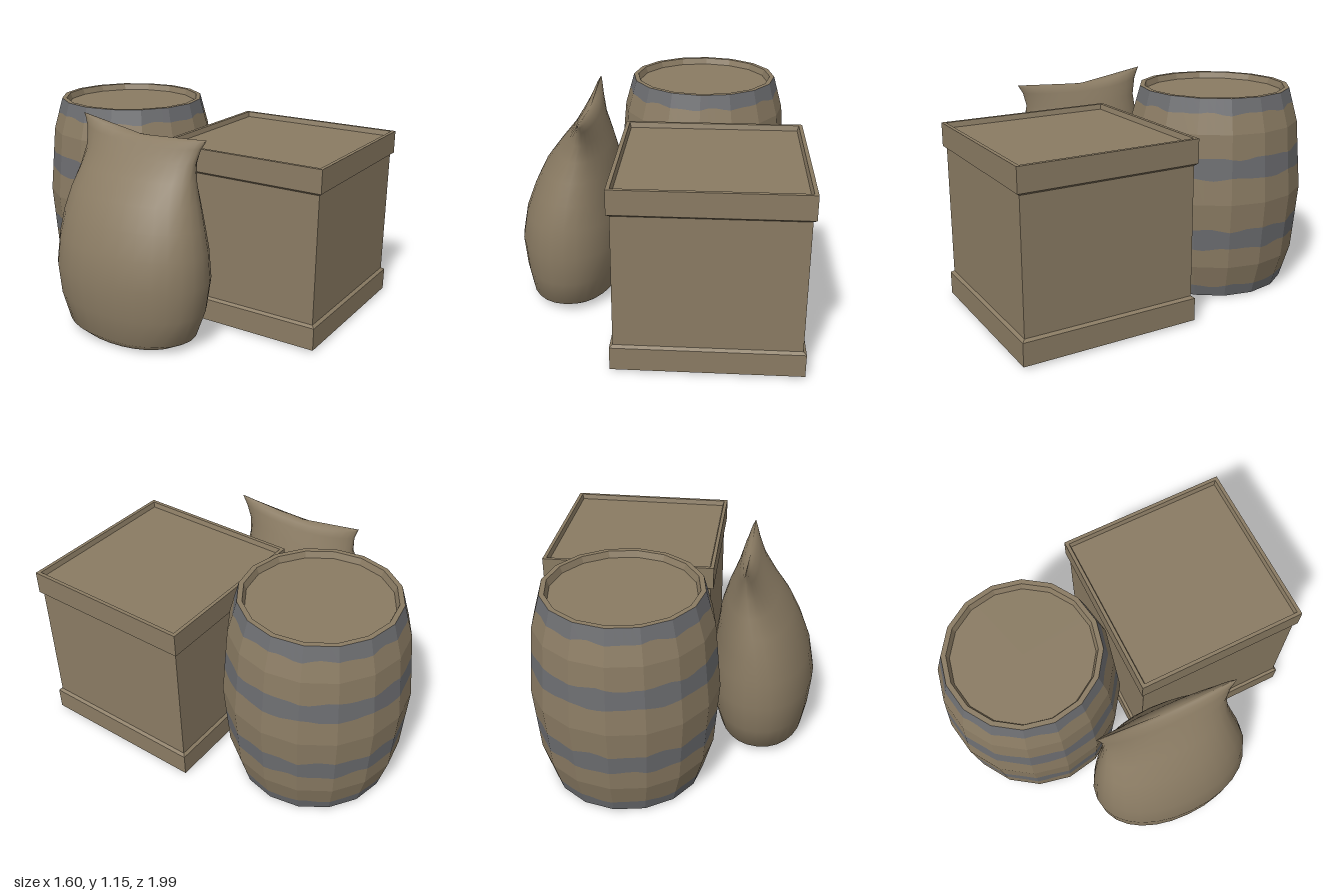
import * as THREE from 'three';

const brown = new THREE.MeshStandardMaterial({ name: 'weatheredBrown', color: 0x8a7b63 });
const iron = new THREE.MeshStandardMaterial({ name: 'hoopGrey', color: 0x6c6d70 });

function addMesh(parent, name, geometry, material) {
  const mesh = new THREE.Mesh(geometry, material);
  mesh.name = name;
  parent.add(mesh);
  return mesh;
}

// Turned profile of [radius, y] pairs, not yet faceted
function turned(profile, sides) {
  return new THREE.LatheGeometry(profile.map(([r, y]) => new THREE.Vector2(r, y)), sides);
}

function faceted(geometry) {
  const flat = geometry.toNonIndexed();
  flat.computeVertexNormals();
  return flat;
}

// Square crate: one four-sided profile with bands and recessed ends
function makeCrate() {
  const crate = new THREE.Group();
  crate.name = 'crate';
  const profile = [
    [0, 0.04], [0.46, 0.04], [0.468, 0.015], [0.49, 0.015], [0.49, 0.14], [0.474, 0.152],
    [0.474, 0.86], [0.49, 0.872], [0.49, 1], [0.47, 1], [0.462, 0.972], [0, 0.972],
  ].map(([r, y]) => [r * Math.SQRT2, y]);
  const box = addMesh(crate, 'crateBox', faceted(turned(profile, 4)), brown);
  box.rotation.y = Math.PI / 4 + 0.02;
  crate.position.set(0.298, 0, 0.495);
  return crate;
}

// Sixteen-sided barrel: staves and painted hoops share one bulging outline
const KNOTS = [[0.425, 0.01], [0.48, 0.2], [0.51, 0.57], [0.477, 0.95], [0.425, 1.135]];

function barrelRadius(y) {
  let i = 0;
  while (i < KNOTS.length - 2 && y > KNOTS[i + 1][1]) i++;
  const [[r0, y0], [r1, y1]] = [KNOTS[i], KNOTS[i + 1]];
  return r0 + (r1 - r0) * (y - y0) / (y1 - y0);
}

// Squeeze a fine lathe onto sixteen flat sides, with wavy hoop edges
function barrelSection(profile, wavyLevels = []) {
  const geometry = turned(profile, 64);
  const p = geometry.attributes.position;
  const step = Math.PI / 8;
  for (let i = 0; i < p.count; i++) {
    const a = (Math.atan2(p.getX(i), p.getZ(i)) + Math.PI * 2 + 1e-6) % (Math.PI * 2);
    let y = p.getY(i);
    let r = Math.hypot(p.getX(i), p.getZ(i));
    if (wavyLevels.some((level) => Math.abs(level - y) < 1e-4)) {
      y += 0.006 * Math.sin(9 * a + y * 30) + 0.004 * Math.sin(16 * a + y * 11);
      r = barrelRadius(y);
    }
    r *= Math.cos(step / 2) / Math.cos((a % step) - step / 2);
    p.setXYZ(i, r * Math.sin(a), y, r * Math.cos(a));
  }
  return faceted(geometry);
}

function makeBarrel() {
  const barrel = new THREE.Group();
  barrel.name = 'barrel';
  const edges = [0.01, 0.075, 0.31, 0.42, 0.71, 0.82, 1.055, 1.135];
  const wavy = edges.slice(1, -1);
  for (let i = 0; i < edges.length - 1; i++) {
    const low = edges[i], high = edges[i + 1];
    const levels = [low, ...KNOTS.map((k) => k[1]).filter((y) => y > low && y < high), high];
    const section = barrelSection(levels.map((y) => [barrelRadius(y), y]), wavy);
    addMesh(barrel, i % 2 ? 'staves' : 'hoop', section, i % 2 ? brown : iron);
  }
  // Rims with recessed heads
  addMesh(barrel, 'barrelLid', barrelSection([[0.425, 1.135], [0.398, 1.135], [0.385, 1.1], [0, 1.1]]), brown);
  addMesh(barrel, 'barrelBase', barrelSection([[0, 0.045], [0.385, 0.045], [0.398, 0.01], [0.425, 0.01]]), brown);
  barrel.position.set(0.207, 0, -0.49);
  return barrel;
}

// Sack: smooth loops that taper into a thin flaring neck
function makeSack() {
  // y, x from, x to, z from, z to, lift of the loop's ends
  const loops = [
    [0.003, -0.66, -0.36, -0.17, 0.30, 0],
    [0.01, -0.72, -0.3, -0.25, 0.38, 0],
    [0.05, -0.76, -0.265, -0.33, 0.45, 0],
    [0.2, -0.785, -0.225, -0.39, 0.5, 0],
    [0.37, -0.8, -0.2, -0.41, 0.52, 0],
    [0.53, -0.77, -0.215, -0.4, 0.505, 0],
    [0.66, -0.72, -0.235, -0.385, 0.475, 0],
    [0.78, -0.66, -0.25, -0.36, 0.44, 0],
    [0.89, -0.575, -0.285, -0.33, 0.41, 0],
    [0.98, -0.5, -0.325, -0.31, 0.405, 0.01],
    [1.05, -0.455, -0.35, -0.32, 0.43, 0.03],
    [1.08, -0.43, -0.37, -0.34, 0.455, 0.045],
    [1.09, -0.41, -0.39, -0.345, 0.46, 0.045],
  ];
  const sides = 28;
  const positions = [], index = [];
  for (const [y, x0, x1, z0, z1, lift] of loops) {
    for (let i = 0; i < sides; i++) {
      const a = (i / sides) * Math.PI * 2;
      const c = Math.cos(a), s = Math.sin(a);
      const bulge = (v) => Math.sign(v) * Math.abs(v) ** 0.95;
      positions.push(
        (x0 + x1) / 2 + bulge(c) * (x1 - x0) / 2,
        y + lift * s * s * (s < 0 ? 1.5 : 0.5),
        (z0 + z1) / 2 + bulge(s) * (z1 - z0) / 2,
      );
    }
  }
  const last = (loops.length - 1) * sides;
  const bottom = loops.length * sides, top = bottom + 1;
  positions.push(-0.51, 0.012, 0.06, -0.4, 1.09, 0.06);
  for (let i = 0; i < sides; i++) {
    const next = (i + 1) % sides;
    for (let row = 0; row < last; row += sides) {
      const a = row + i, b = row + next;
      index.push(a, a + sides, b, b, a + sides, b + sides);
    }
    index.push(bottom, i, next, top, last + next, last + i);
  }
  const geometry = new THREE.BufferGeometry();
  geometry.setAttribute('position', new THREE.Float32BufferAttribute(positions, 3));
  geometry.setIndex(index);
  geometry.computeVertexNormals();
  const sack = new THREE.Group();
  sack.name = 'sack';
  addMesh(sack, 'sackCloth', geometry, brown);
  return sack;
}

export function createModel() {
  const model = new THREE.Group();
  model.name = 'storageGoods';
  model.add(makeCrate(), makeBarrel(), makeSack());
  return model;
}
